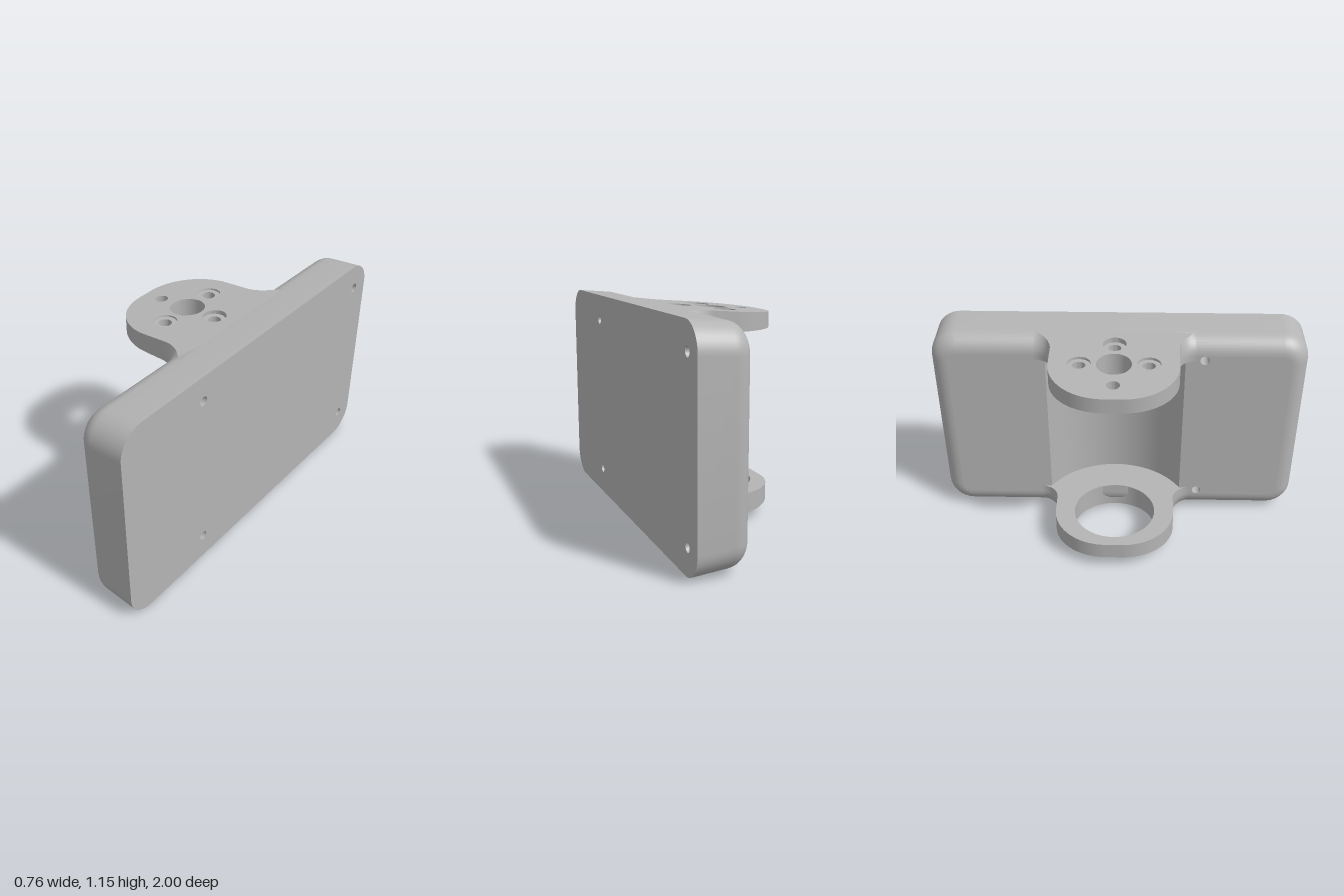
import * as THREE from 'three';
import { toCreasedNormals } from 'three/addons/utils/BufferGeometryUtils.js';

const FRONT = 0.38, BACK = 0.11, FILLET = 0.09; // plate faces along x and edge rounding
const LOW = 0.16, HIGH = 1.01;                  // inner faces of the two lugs
const AXIS_X = -0.1, AXIS_Z = -0.02;            // common axis of the bores
const topAt = (x) => 1.12 + 0.08 * x;           // tapered outer planes
const bottomAt = (x) => 0.0348 - 0.0915 * x;

// Rounded rectangle (z, y) of the plate at x, shrunk by inset
function plateOutline(x, inset) {
  const r = 0.14 - inset, w = 1 - inset - r;
  const hi = topAt(x) - inset - r, lo = bottomAt(x) + inset + r;
  const corners = [[w, hi], [-w, hi], [-w, lo], [w, lo]];
  const points = [];
  corners.forEach(([cz, cy], i) => {
    for (let k = 0; k <= 10; k++) {
      const a = (i + k / 10) * Math.PI / 2;
      points.push(new THREE.Vector2(cz + r * Math.cos(a), cy + r * Math.sin(a)));
    }
  });
  return points;
}

function circlePath(x, y, r) {
  const path = new THREE.Path();
  path.absarc(x, y, r, 0, Math.PI * 2, true);
  return path;
}

export function createModel() {
  const model = new THREE.Group();
  const grey = new THREE.MeshStandardMaterial({ color: 0xb4b4b4, side: THREE.DoubleSide });
  grey.name = 'grey';
  const add = (name, geometry, x = 0, y = 0, z = 0) => {
    const mesh = new THREE.Mesh(geometry, grey);
    mesh.name = name;
    mesh.position.set(x, y, z);
    model.add(mesh);
    return mesh;
  };

  // Plate rim: loft from the front face over the rounded back edge
  const sections = [[FRONT, 0]];
  for (let k = 0; k <= 10; k++) {
    const a = (k / 10) * Math.PI / 2;
    sections.push([BACK + FILLET * (1 - Math.sin(a)), FILLET * (1 - Math.cos(a))]);
  }
  sections.slice(1).forEach((s, k) => { // order from the outer tangent to the back face
    const a = (k / 10) * Math.PI / 2;
    s[0] = BACK + FILLET * (1 - Math.sin(a));
    s[1] = FILLET * (1 - Math.cos(a));
  });
  const positions = [], index = [];
  sections.forEach(([x, inset], j) => {
    const ring = plateOutline(x, inset), n = ring.length;
    ring.forEach((p, i) => {
      positions.push(x, p.y, p.x);
      if (j === 0) return;
      const a = (j - 1) * n + i, b = (j - 1) * n + (i + 1) % n;
      index.push(a, a + n, b, b, a + n, b + n);
    });
  });
  const rim = new THREE.BufferGeometry();
  rim.setAttribute('position', new THREE.Float32BufferAttribute(positions, 3));
  rim.setIndex(index);
  add('plateRim', toCreasedNormals(rim, 0.6));

  // Plate faces with screw holes; the back one also opens into the pocket
  const screws = [];
  for (const z of [0.45, -0.885]) for (const y of [0.143, 1.013]) screws.push([z, y]);
  const pocketR = 0.425, reach = BACK - AXIS_X;
  const half = Math.sqrt(pocketR ** 2 - reach ** 2);
  const face = (name, x, inset, pocket) => {
    const shape = new THREE.Shape(plateOutline(x, inset));
    screws.forEach(([z, y]) => shape.holes.push(circlePath(z, y, 0.025)));
    if (pocket) {
      shape.holes.push(new THREE.Path([
        [-half, LOW], [-half, HIGH], [half, HIGH], [half, LOW],
      ].map(([z, y]) => new THREE.Vector2(z + AXIS_Z, y))));
    }
    const geometry = new THREE.ShapeGeometry(shape, 12);
    geometry.rotateY(-Math.PI / 2);
    add(name, geometry, x);
  };
  face('plateFront', FRONT, 0, false);
  face('plateBack', BACK, FILLET, true);
  screws.forEach(([z, y]) => {
    const wall = new THREE.CylinderGeometry(0.025, 0.025, FRONT - BACK, 24, 1, true);
    wall.rotateZ(Math.PI / 2);
    add('screwHole', wall, (FRONT + BACK) / 2, y, z);
  });

  // Cylindrical pocket between the lugs
  const spread = Math.acos(reach / pocketR);
  add('pocket', new THREE.CylinderGeometry(pocketR, pocketR, HIGH - LOW, 40, 1, true,
    Math.PI / 2 - spread, spread * 2), AXIS_X, (LOW + HIGH) / 2, AXIS_Z);

  // Lug: flat inner face, sloped outer face, sides blended into the rounded plate
  const lug = (name, inner, outerAt, holes) => {
    const s = new THREE.Shape();
    const q = Math.PI / 2;
    s.moveTo(0.33, -0.43);
    s.lineTo(BACK, -0.43);
    s.absarc(0.01, -0.43, 0.1, 0, q, false);
    s.absarc(AXIS_X, -0.045, 0.285, -q, -2 * q, true);
    s.absarc(AXIS_X, 0.045, 0.285, 2 * q, q, true);
    s.absarc(0.01, 0.43, 0.1, -q, 0, false);
    s.lineTo(0.33, 0.43);
    holes.forEach(([x, z, r]) => s.holes.push(circlePath(x, z, r)));
    const geometry = new THREE.ExtrudeGeometry(s, { depth: 1, steps: 12, bevelEnabled: false, curveSegments: 20 });
    const pos = geometry.attributes.position;
    for (let i = 0; i < pos.count; i++) {
      let x = pos.getX(i);
      const side = pos.getY(i), t = pos.getZ(i);
      const h = FILLET - (1 - t) * Math.abs(outerAt(x) - inner);
      // blend follows the plate's rounded edge
      if (h > 0 && Math.abs(side) > 0.3 && x > 0.0099 && x < 0.15) {
        const centre = BACK + FILLET;
        x = centre - Math.sqrt(Math.max(0, (centre - x) ** 2 - h * h));
      }
      pos.setXYZ(i, x, inner + t * (outerAt(x) - inner), side);
    }
    geometry.deleteAttribute('normal');
    add(name, toCreasedNormals(geometry, 0.5), 0, 0, AXIS_Z);
  };
  const bolt = 0.175, boltR = 0.033, seatR = 0.06, seatY = 1.103;
  const seats = [[AXIS_X + bolt, 0], [AXIS_X, bolt], [AXIS_X, -bolt]];
  lug('upperLug', HIGH, topAt, [
    [AXIS_X, 0, 0.089], [AXIS_X - bolt, 0, boltR], ...seats.map(([x, z]) => [x, z, seatR]),
  ]);
  lug('lowerLug', LOW, bottomAt, [[AXIS_X, 0, 0.223]]);

  // Counterbored bolt seats, level although the lug slopes
  const seatProfile = [[seatR, HIGH], [boltR, HIGH], [boltR, seatY], [seatR, seatY]]
    .map(([r, y]) => new THREE.Vector2(r, y));
  seats.forEach(([x, z]) => {
    const seat = toCreasedNormals(new THREE.LatheGeometry(seatProfile, 32), 0.5);
    add('boltSeat', seat, x, 0, z + AXIS_Z);
  });

  return model;
}
